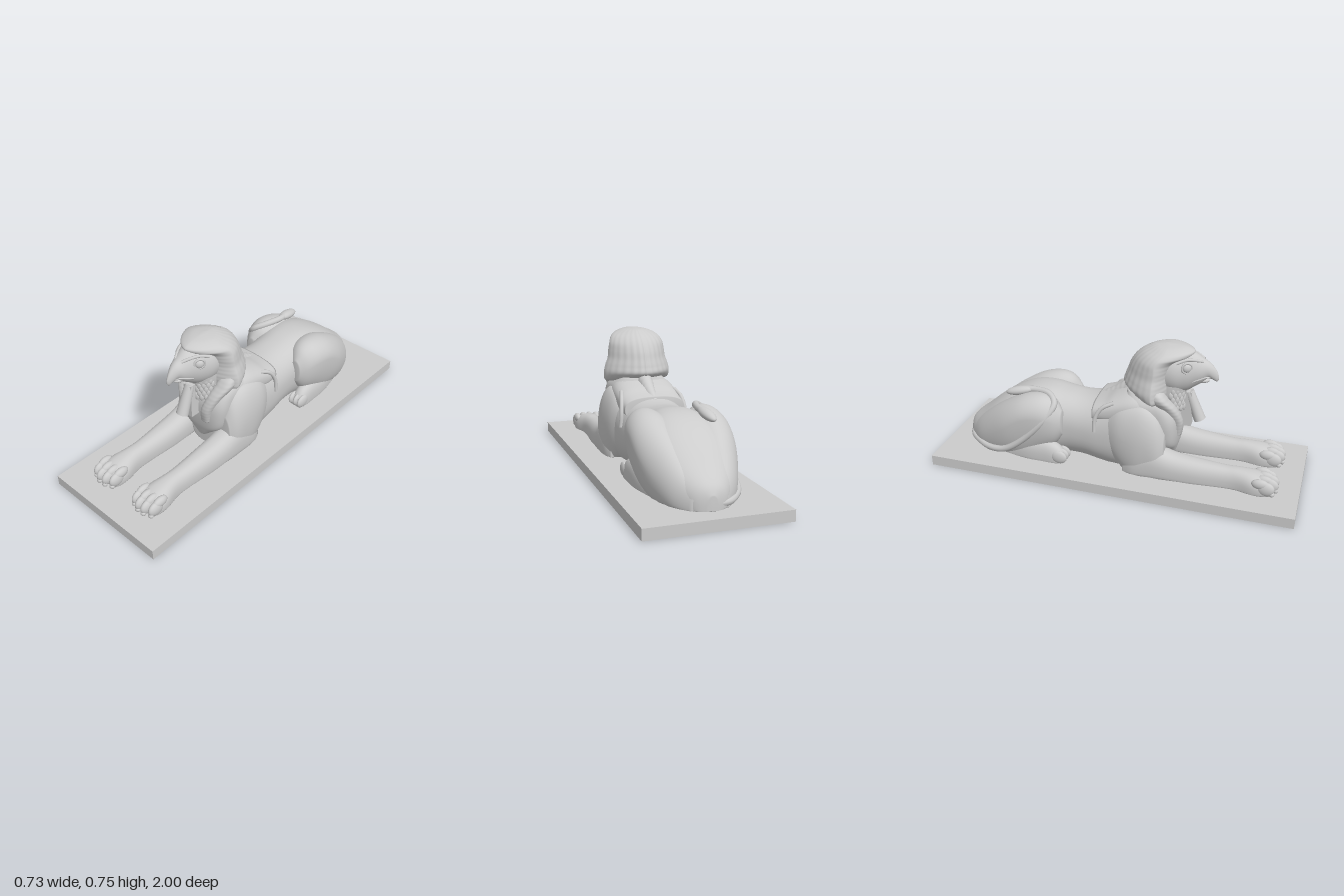
import * as THREE from 'three';

const mat = new THREE.MeshStandardMaterial({ color: 0xcccccc, side: THREE.DoubleSide });
const FLOOR = 0.061; // top of the plinth

function add(parent, name, geo, pos = [0, 0, 0], scale = [1, 1, 1], rot = [0, 0, 0]) {
  const m = new THREE.Mesh(geo, mat);
  m.name = name;
  m.position.set(...pos);
  m.scale.set(...scale);
  m.rotation.set(...rot);
  parent.add(m);
  return m;
}

const ball = new THREE.SphereGeometry(1, 24, 16);
const blob = (parent, name, pos, radii, rot) => add(parent, name, ball, pos, radii, rot);

function tube(parent, name, pts, r, steps = 24) {
  const path = new THREE.CatmullRomCurve3(pts.map(p => new THREE.Vector3(...p)));
  return add(parent, name, new THREE.TubeGeometry(path, steps, r, 10));
}

const cubic = (a, b, c, d, t) =>
  b + 0.5 * t * (c - a + t * (2 * a - 5 * b + 4 * c - d + t * (3 * (b - c) + d - a)));

// Smooth solid through cross-sections [t, low, high, halfWidth, widestFraction, centreX].
// axis 'z': low/high are heights, cut off at the floor; axis 'y': low/high are back/front depths.
function loft(rows, { axis = 'z', n = 2, steps = 5, seg = 48, ripple = () => 1 } = {}) {
  const full = rows.map(r => [r[0], r[1], r[2], r[3], r[4] ?? 0.5, r[5] ?? 0]);
  const at = i => full[Math.max(0, Math.min(full.length - 1, i))];
  const pos = [], idx = [];
  const put = (x, v, t) => (axis === 'z' ? pos.push(x, Math.max(FLOOR, v), t) : pos.push(x, t, v));
  const tri = (a, b, c) => (axis === 'z' ? idx.push(a, b, c) : idx.push(a, c, b));
  const pw = v => Math.sign(v) * Math.abs(v) ** (2 / n);
  const rings = (full.length - 1) * steps + 1;
  const centres = [];
  for (let k = 0; k < rings; k++) {
    const i = Math.min(full.length - 2, Math.floor(k / steps)), f = k / steps - i;
    const [t, lo, hi, hw, mid, cx] = at(i).map((_, c) =>
      cubic(at(i - 1)[c], at(i)[c], at(i + 1)[c], at(i + 2)[c], f));
    const m = lo + (hi - lo) * mid;
    centres.push([cx, m, t]);
    for (let j = 0; j < seg; j++) {
      const a = j / seg * Math.PI * 2, s = pw(Math.sin(a)), g = ripple(a, t);
      put(cx + Math.max(0.001, hw) * pw(Math.cos(a)) * g, m + s * g * (s > 0 ? hi - m : m - lo), t);
    }
  }
  for (let k = 0; k < rings - 1; k++) for (let j = 0; j < seg; j++) {
    const a = k * seg + j, b = k * seg + (j + 1) % seg;
    tri(a, b, a + seg);
    tri(b, b + seg, a + seg);
  }
  put(...centres[0]);
  put(...centres[rings - 1]);
  const c0 = rings * seg, last = (rings - 1) * seg;
  for (let j = 0; j < seg; j++) {
    const k = (j + 1) % seg;
    tri(c0, k, j);
    tri(c0 + 1, last + j, last + k);
  }
  const g = new THREE.BufferGeometry();
  g.setAttribute('position', new THREE.Float32BufferAttribute(pos, 3));
  g.setIndex(idx);
  g.computeVertexNormals();
  return g;
}

// Paired parts for one side, built on +x
function buildSide(s) {
  const side = new THREE.Group();
  side.name = s > 0 ? 'leftSide' : 'rightSide';

  // Shoulder, foreleg and paw
  add(side, 'shoulder', loft([
    [-0.04, 0.17, 0.35, 0.03, 0.5, 0.148], [0.03, 0.08, 0.415, 0.062, 0.55, 0.15],
    [0.12, 0, 0.445, 0.077, 0.55, 0.152], [0.19, 0, 0.44, 0.076, 0.55, 0.152],
    [0.25, 0.02, 0.39, 0.066, 0.5, 0.15], [0.285, 0.08, 0.3, 0.04, 0.5, 0.15]]));
  add(side, 'foreleg', loft([
    [0.06, 0, 0.14, 0.035, 0.5, 0.16], [0.12, 0, 0.19, 0.062, 0.5, 0.157],
    [0.22, 0, 0.23, 0.073, 0.5, 0.152], [0.33, 0, 0.195, 0.072, 0.5, 0.148],
    [0.45, 0, 0.177, 0.067, 0.5, 0.146], [0.6, 0, 0.165, 0.056, 0.5, 0.144],
    [0.68, 0, 0.165, 0.058, 0.5, 0.144], [0.76, 0, 0.158, 0.076, 0.5, 0.145],
    [0.82, 0.02, 0.14, 0.077, 0.5, 0.145], [0.855, 0.04, 0.115, 0.068, 0.5, 0.145]], { n: 2.4 }));
  [-0.06, -0.02, 0.02, 0.06].forEach((dx, i) => {
    const z = i === 1 || i === 2 ? 0.015 : 0;
    blob(side, 'toe', [0.146 + dx, 0.102, 0.83 + z], [0.0225, 0.04, 0.047]);
    blob(side, 'knuckle', [0.146 + dx, 0.126, 0.8 + z], [0.0215, 0.028, 0.045]);
    blob(side, 'claw', [0.146 + dx, 0.077, 0.864 + z], [0.015, 0.015, 0.014]);
  });

  // Haunch and hind foot
  add(side, 'haunch', loft([
    [-0.88, 0, 0.14, 0.03, 0.5, 0.06], [-0.8, 0, 0.22, 0.072, 0.5, 0.092],
    [-0.7, 0, 0.305, 0.096, 0.55, 0.12], [-0.6, 0.02, 0.372, 0.112, 0.62, 0.138],
    [-0.5, 0.04, 0.42, 0.114, 0.7, 0.146], [-0.4, 0.1, 0.435, 0.102, 0.67, 0.152],
    [-0.33, 0.15, 0.41, 0.075, 0.6, 0.156], [-0.285, 0.22, 0.35, 0.03, 0.5, 0.165]]));
  add(side, 'hindFoot', loft([
    [-0.66, 0, 0.12, 0.03, 0.5, 0.165], [-0.5, 0, 0.168, 0.045, 0.5, 0.186],
    [-0.38, 0, 0.178, 0.045, 0.5, 0.192], [-0.31, 0, 0.16, 0.042, 0.5, 0.194],
    [-0.27, 0.02, 0.12, 0.032, 0.5, 0.195]], { n: 2.3 }));
  for (const dx of [-0.03, 0, 0.03])
    blob(side, 'hindToe', [0.196 + dx, 0.1, -0.292], [0.017, 0.038, 0.046]);

  // Headdress lappet on the chest
  add(side, 'lappet', loft([
    [0.27, 0.3, 0.35, 0.028, 0.5, 0.066], [0.35, 0.28, 0.36, 0.033, 0.5, 0.08],
    [0.43, 0.24, 0.333, 0.038, 0.5, 0.108], [0.49, 0.2, 0.288, 0.045, 0.5, 0.13],
    [0.53, 0.18, 0.255, 0.042, 0.5, 0.13], [0.57, 0.17, 0.205, 0.03, 0.5, 0.12]],
  { axis: 'y', n: 2.6, steps: 14, ripple: (a, t) => 1 + 0.008 * Math.sin(t * 280) }));
  // Cloth tab hanging behind the shoulder
  tube(side, 'mantleTab', [[0.15, 0.44, 0], [0.167, 0.41, -0.06],
    [0.178, 0.35, -0.095], [0.184, 0.27, -0.1]], 0.011);

  // Eye, brow and mouth line
  const eye = new THREE.Group();
  eye.name = 'eye';
  eye.position.set(0.074, 0.66, 0.368);
  eye.rotation.set(0, 1.05, 0);
  side.add(eye);
  blob(eye, 'eyeball', [0, 0, 0], [0.023, 0.023, 0.014]);
  add(eye, 'eyelid', new THREE.TorusGeometry(0.027, 0.006, 8, 28));
  tube(side, 'brow', [[0.02, 0.683, 0.44], [0.044, 0.696, 0.4], [0.066, 0.7, 0.36],
    [0.09, 0.686, 0.315]], 0.008);
  tube(side, 'mouthLine', [[0.01, 0.594, 0.483], [0.031, 0.6, 0.458], [0.048, 0.59, 0.425],
    [0.056, 0.578, 0.395]], 0.005);
  // Throat feathers in overlapping rows
  for (let r = 0; r < 5; r++) for (let i = 0; i < 4; i++) {
    const a = 0.35 + i * 0.28 + (r % 2) * 0.14;
    blob(side, 'feather', [0.086 * Math.sin(a), 0.52 - r * 0.025, 0.27 + 0.086 * Math.cos(a)],
      [0.013, 0.022, 0.008], [0, a, 0]);
  }
  side.scale.x = s;
  return side;
}

export function createModel() {
  const model = new THREE.Group();
  model.name = 'falconSphinx';

  // Hollow plinth, open underneath
  const slab = new THREE.BoxGeometry(0.726, 0.057, 2);
  slab.setIndex([...slab.index.array].filter((_, i) => i < 18 || i >= 24));
  slab.clearGroups();
  add(model, 'plinth', slab, [0, 0.0315, 0]);

  // Lion body
  add(model, 'torso', loft([
    [-0.908, 0, 0.13, 0.025], [-0.88, 0, 0.18, 0.085], [-0.8, 0, 0.245, 0.148],
    [-0.7, 0, 0.325, 0.196], [-0.6, 0, 0.385, 0.212, 0.55], [-0.5, 0, 0.42, 0.205, 0.6],
    [-0.4, 0.02, 0.428, 0.182, 0.6], [-0.3, 0.04, 0.414, 0.168, 0.55], [-0.2, 0.045, 0.405, 0.172, 0.52],
    [-0.1, 0.03, 0.42, 0.185], [0, 0.01, 0.462, 0.194], [0.1, 0, 0.495, 0.195],
    [0.18, 0, 0.49, 0.185], [0.24, 0, 0.45, 0.16], [0.275, 0.02, 0.4, 0.12],
    [0.295, 0.06, 0.32, 0.08]], { n: 2.3, seg: 64 }));

  // Mantle over the back of the shoulders, and pointed breast cloth
  add(model, 'mantle', loft([
    [-0.12, 0.3, 0.424, 0.165], [-0.06, 0.3, 0.444, 0.172], [0, 0.3, 0.472, 0.174],
    [0.1, 0.3, 0.502, 0.175], [0.2, 0.3, 0.495, 0.165]], { n: 2.6 }));
  add(model, 'breastCloth', loft([
    [0.12, 0.1, 0.305, 0.03, 0.6], [0.122, 0.1, 0.308, 0.036, 0.6], [0.17, 0.1, 0.322, 0.09, 0.6],
    [0.22, 0.1, 0.333, 0.14, 0.6], [0.3, 0.08, 0.34, 0.162, 0.6], [0.38, 0.06, 0.335, 0.17, 0.6],
    [0.45, 0.04, 0.305, 0.162, 0.6], [0.5, 0.05, 0.265, 0.12, 0.6]], { axis: 'y', n: 3.4, seg: 72 }));

  // Falcon head: neck, skull with hooked beak, chin
  add(model, 'neck', loft([
    [0.34, 0.18, 0.34, 0.05], [0.44, 0.18, 0.352, 0.08], [0.52, 0.18, 0.365, 0.09],
    [0.58, 0.18, 0.385, 0.09]], { axis: 'y' }));
  add(model, 'skull', loft([
    [0.15, 0.5, 0.735, 0.09], [0.28, 0.49, 0.743, 0.106], [0.35, 0.502, 0.735, 0.087],
    [0.4, 0.533, 0.717, 0.066], [0.44, 0.562, 0.692, 0.048], [0.47, 0.59, 0.675, 0.033],
    [0.495, 0.58, 0.652, 0.02], [0.512, 0.573, 0.628, 0.011], [0.522, 0.585, 0.605, 0.003]]));
  blob(model, 'lowerBill', [0, 0.573, 0.43], [0.026, 0.016, 0.045]);

  // Striped headdress, pleated at the back and ribbed at the front
  add(model, 'headdress', loft([
    [0.465, 0.17, 0.25, 0.165, 0.6], [0.48, 0.09, 0.275, 0.187, 0.65], [0.52, 0.02, 0.285, 0.19, 0.7],
    [0.56, 0.025, 0.285, 0.181, 0.7], [0.6, 0.04, 0.288, 0.167, 0.68], [0.64, 0.055, 0.298, 0.162, 0.65],
    [0.68, 0.08, 0.325, 0.154, 0.55], [0.71, 0.11, 0.385, 0.139, 0.45], [0.732, 0.145, 0.39, 0.11, 0.45],
    [0.749, 0.185, 0.35, 0.066, 0.45], [0.757, 0.24, 0.28, 0.01]],
  { axis: 'y', n: 1.6, steps: 7, seg: 120, ripple: (a, t) =>
    Math.sin(a) < 0 ? 1 - 0.013 * Math.sin(a) * Math.cos(a * 28) : 1 + 0.007 * Math.sin(a) * Math.sin(t * 260) }));
  // Gathered tail of the headdress down the back
  add(model, 'headdressTail', loft([
    [-0.13, 0.38, 0.415, 0.014], [-0.08, 0.38, 0.444, 0.026], [-0.03, 0.4, 0.475, 0.032],
    [0.04, 0.42, 0.525, 0.04], [0.1, 0.45, 0.55, 0.04]],
  { steps: 14, ripple: (a, t) => 1 + 0.015 * Math.sin(t * 220) }));

  // False beard and its support
  add(model, 'beard', new THREE.CylinderGeometry(0.026, 0.034, 0.17, 28), [0, 0.418, 0.402],
    [1, 1, 0.95], [-0.38, 0, 0]);
  add(model, 'beardSupport', new THREE.BoxGeometry(0.05, 0.2, 0.09), [0, 0.4, 0.345]);

  for (const s of [1, -1]) model.add(buildSide(s));

  // Tail wrapping the right haunch, with its tuft resting on the rump
  tube(model, 'tail', [[0, 0.09, -0.89], [-0.09, 0.085, -0.868], [-0.165, 0.083, -0.79],
    [-0.215, 0.085, -0.7], [-0.238, 0.11, -0.6], [-0.244, 0.2, -0.48], [-0.23, 0.32, -0.37],
    [-0.18, 0.4, -0.325], [-0.13, 0.43, -0.37], [-0.105, 0.432, -0.46], [-0.112, 0.425, -0.55]], 0.018, 80);
  blob(model, 'tailTuft', [-0.115, 0.418, -0.55], [0.03, 0.024, 0.08], [-0.2, 0.12, 0]);
  return model;
}
